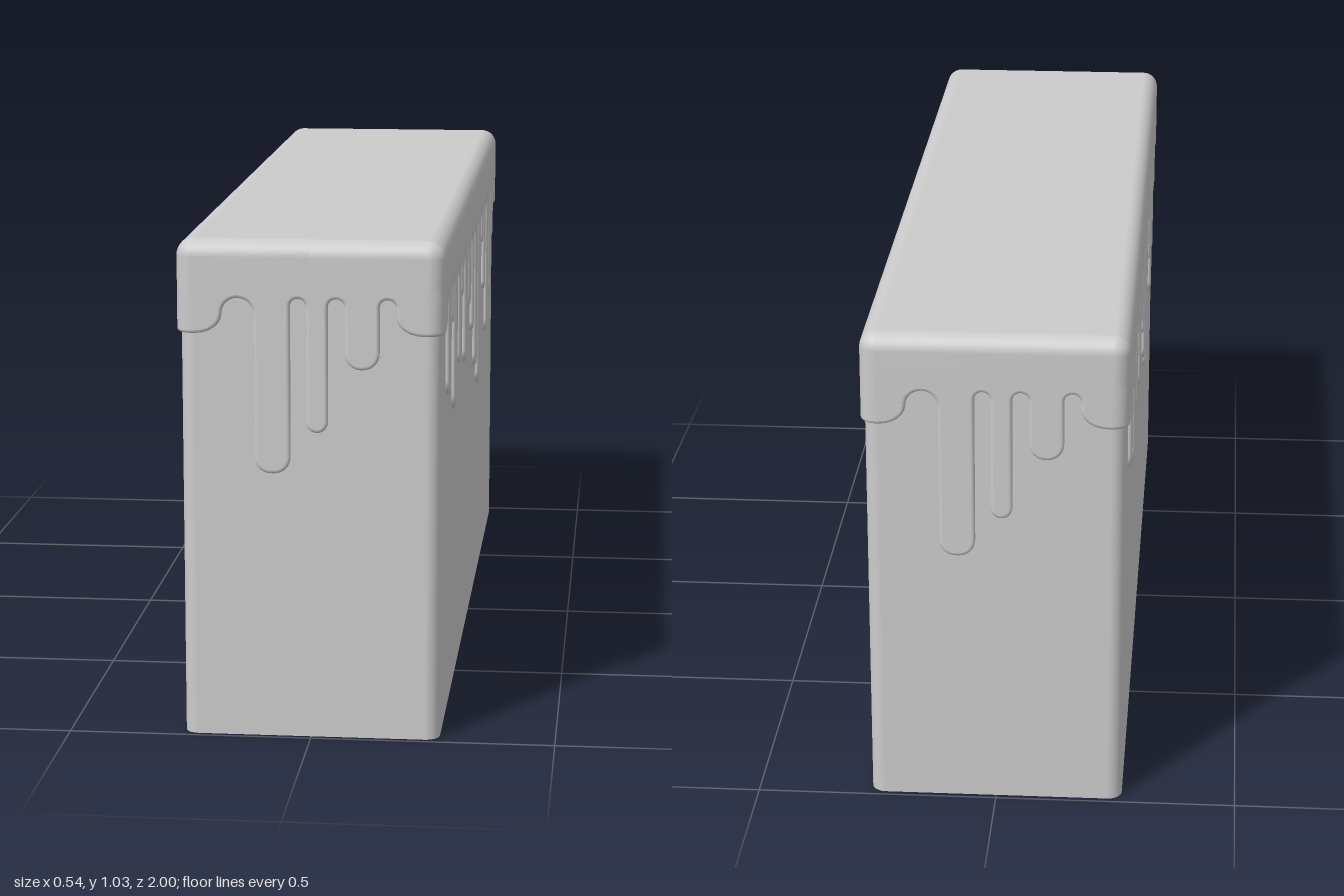
import * as THREE from 'three';

const X = 0.271, Z = 1.0, R = 0.035;      // icing half width, half length, corner radius
const TOP = 1.03, SEAM = 0.93;            // icing top, height where skirt meets cap
const HEM = 0.84, ARCH = 0.913;           // skirt hem at the corners, top of the gaps
const DEPTH = 0.013, BEVEL = 0.007;       // icing thickness and edge rounding
const END = 2 * (X - R), SIDE = 2 * (Z - R), CORNER = R * Math.PI / 2;
const V = (x, y, z) => new THREE.Vector3(x, y, z);

// Drips per wall, left to right: [left edge, right edge, bottom]
const endWall = { half: X - R, first: -0.178, last: 0.173, drips: [
  [-0.113, -0.04, 0.555], [-0.008, 0.036, 0.64], [0.07, 0.14, 0.77]] };
const sideWall = { half: Z - R, first: -0.9, last: 0.9, drips: [
  [-0.857, -0.782, 0.69], [-0.744, -0.696, 0.82], [-0.664, -0.584, 0.62], [-0.509, -0.46, 0.69],
  [-0.418, -0.37, 0.82], [-0.3, -0.22, 0.65], [-0.177, -0.096, 0.755], [-0.021, 0.021, 0.675],
  [0.096, 0.171, 0.565], [0.214, 0.295, 0.5], [0.37, 0.412, 0.82], [0.461, 0.503, 0.69],
  [0.584, 0.659, 0.56], [0.696, 0.744, 0.64], [0.777, 0.857, 0.77]] };

// Smooth surface through rows of points, rows running upward
function loft(rows) {
  const n = rows[0].length, index = [];
  for (let i = 0; i < rows.length - 1; i++) {
    for (let j = 0; j < n - 1; j++) {
      const a = i * n + j, b = a + 1, c = b + n, d = a + n;
      index.push(a, b, c, a, c, d);
    }
  }
  const g = new THREE.BufferGeometry().setFromPoints(rows.flat());
  g.setIndex(index);
  g.computeVertexNormals();
  return g;
}

// Rounded rectangle loop at height y
function ring(hx, hz, r, y) {
  const pts = [V(0, y, hz)];
  [[1, 1], [1, -1], [-1, -1], [-1, 1]].forEach(([sx, sz], i) => {
    for (let k = 0; k <= 8; k++) {
      const t = (i + k / 8) * Math.PI / 2;
      pts.push(V(sx * (hx - r) + r * Math.sin(t), y, sz * (hz - r) + r * Math.cos(t)));
    }
  });
  pts.push(V(0, y, hz));
  return pts;
}

// Open-bottomed shell with a rounded, closed top
function roundedShell(hx, hz, r, y0, y1) {
  const rows = [ring(hx, hz, r, y0)];
  for (let k = 0; k <= 8; k++) {
    const t = k / 8 * Math.PI / 2, inset = r * (1 - Math.cos(t));
    rows.push(ring(hx - inset, hz - inset, Math.max(r - inset, 0.001), y1 - r + r * Math.sin(t)));
  }
  rows.push(rows[0].map(() => V(0, y1, 0)));
  return loft(rows);
}

// Lower edge of one wall's icing as (distance, height) points
function dripEdge({ half, first, last, drips }, offset) {
  const pts = [];
  const arc = (cx, cy, rx, ry, from, to) => {
    for (let k = 0; k <= 6; k++) {
      const t = (from + (to - from) * k / 6) * Math.PI / 2;
      pts.push(new THREE.Vector2(cx + rx * Math.cos(t) + half + offset, cy + ry * Math.sin(t)));
    }
  };
  const arch = (l, r) => {
    const q = Math.min((r - l) / 2, 0.033);
    arc(l + q, ARCH - q, q, q, 2, 1);
    arc(r - q, ARCH - q, q, q, 1, 0);
  };
  const bend = Math.min(half - Math.abs(first), 0.055), rise = 0.04;
  pts.push(new THREE.Vector2(offset, HEM));
  arc(first - bend, HEM + rise, bend, rise, -1, 0);
  let left = first;
  for (const [l, r, bottom] of drips) {
    arch(left, l);
    const q = Math.min((r - l) / 2, 0.033);
    arc(l + q, bottom + q, q, q, 2, 3);
    arc(r - q, bottom + q, q, q, 3, 4);
    left = r;
  }
  arch(left, last);
  arc(last + bend, HEM + rise, bend, rise, 2, 3);
  pts.push(new THREE.Vector2(offset + 2 * half, HEM));
  return pts;
}

// Wrap (distance, height, thickness) round one end, one side and their corners
function wrap(s, y, d) {
  const out = d - DEPTH;
  if (s <= END) return V(s - END / 2, y, Z + out);
  s -= END;
  if (s < CORNER) {
    return V(X - R + (R + out) * Math.sin(s / R), y, Z - R + (R + out) * Math.cos(s / R));
  }
  s -= CORNER;
  if (s <= SIDE) return V(X + out, y, Z - R - s);
  const t = Math.PI / 2 + (s - SIDE) / R;
  return V(X - R + (R + out) * Math.sin(t), y, -(Z - R) + (R + out) * Math.cos(t));
}

// Skirt geometries for half the perimeter
function skirtParts() {
  const cornerEdge = (s) => Array.from({ length: 9 }, (_, k) => new THREE.Vector2(s + CORNER * k / 8, HEM));
  const s1 = END + CORNER, s2 = s1 + SIDE;
  const edge = [...dripEdge(endWall, 0), ...cornerEdge(END), ...dripEdge(sideWall, s1), ...cornerEdge(s2)]
    .filter((p, i, all) => i === 0 || p.distanceTo(all[i - 1]) > 1e-5);
  const inset = (b) => edge.map((p, i) => {
    const q = edge[Math.min(i + 1, edge.length - 1)].clone().sub(edge[Math.max(i - 1, 0)]).normalize();
    return new THREE.Vector2(p.x - q.y * b, p.y + q.x * b);
  });

  // rounded rim
  const rows = [edge.map((p) => wrap(p.x, p.y, 0))];
  for (let k = 0; k <= 4; k++) {
    const t = k / 4 * Math.PI / 2;
    rows.push(inset(BEVEL * (1 - Math.cos(t)))
      .map((p) => wrap(p.x, p.y, DEPTH - BEVEL + BEVEL * Math.sin(t))));
  }
  const parts = [['dripRim', loft(rows)]];

  // flat faces and corner faces above the rim
  const inner = inset(BEVEL), eps = 1e-6;
  const between = (a, b) => inner.filter((p) => p.x > a - eps && p.x < b + eps);
  for (const [a, b] of [[0, END], [s1, s2]]) {
    const shape = new THREE.Shape([...between(a, b), new THREE.Vector2(b, SEAM), new THREE.Vector2(a, SEAM)]);
    const g = new THREE.ShapeGeometry(shape), pos = g.attributes.position;
    for (let i = 0; i < pos.count; i++) {
      const p = wrap(THREE.MathUtils.clamp(pos.getX(i), a, b), pos.getY(i), DEPTH);
      pos.setXYZ(i, p.x, p.y, p.z);
    }
    g.computeVertexNormals();
    parts.push(['dripFace', g]);
  }
  for (const a of [END, s2]) {
    const low = between(a, a + CORNER);
    parts.push(['cornerFace', loft([low.map((p) => wrap(p.x, p.y, DEPTH)), low.map((p) => wrap(p.x, SEAM, DEPTH))])]);
  }
  return parts;
}

export function createModel() {
  const model = new THREE.Group();
  const material = new THREE.MeshStandardMaterial({ color: 0xcccccc, side: THREE.DoubleSide });
  const add = (parent, name, geometry) => {
    const mesh = new THREE.Mesh(geometry, material);
    mesh.name = name;
    parent.add(mesh);
  };

  add(model, 'body', roundedShell(0.263, 0.988, 0.03, 0, TOP - 0.012));
  add(model, 'icingCap', roundedShell(X, Z, R, SEAM, TOP));

  // the second half of the skirt is the first turned half round
  const parts = skirtParts();
  for (let i = 0; i < 2; i++) {
    const half = new THREE.Group();
    half.name = 'icingDrips';
    half.rotation.y = i * Math.PI;
    parts.forEach(([name, geometry]) => add(half, name, geometry));
    model.add(half);
  }
  return model;
}
